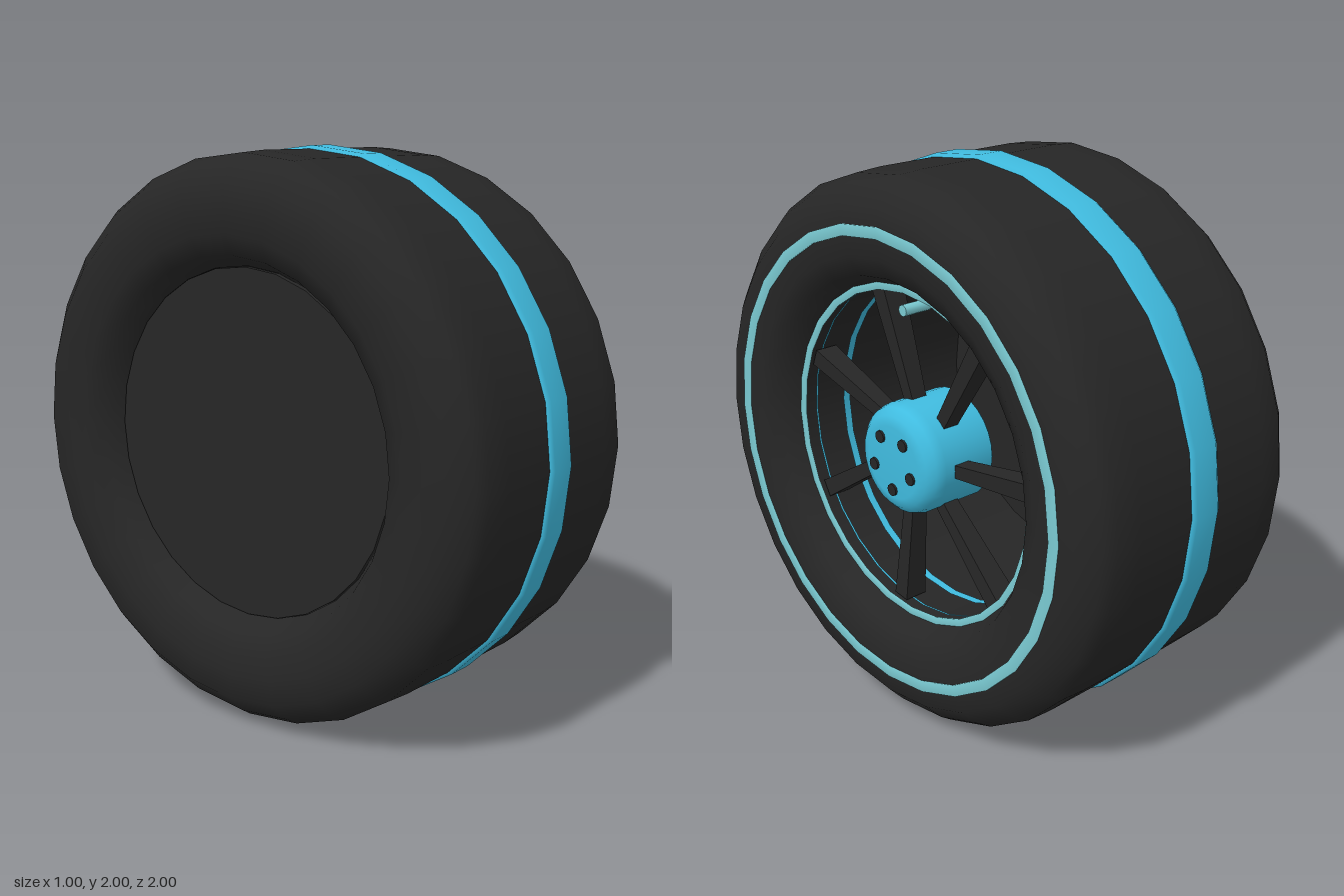
import * as THREE from 'three';

const SIDES = 28;
const rubber = new THREE.MeshStandardMaterial({ color: 0x262626 });
rubber.name = 'dark rubber';
const blue = new THREE.MeshStandardMaterial({ color: 0x40bce0 });
blue.name = 'bright blue';
const teal = new THREE.MeshStandardMaterial({ color: 0x7acad2 });
teal.name = 'pale teal';

// Turns a profile of [x, radius] points around the axle (x axis)
function turned(name, profile, material, sides = SIDES) {
  const points = profile.map(([x, r]) => new THREE.Vector2(r, x));
  const geometry = new THREE.LatheGeometry(points, sides);
  geometry.rotateZ(-Math.PI / 2);
  const mesh = new THREE.Mesh(geometry, material);
  mesh.name = name;
  return mesh;
}

// Short rod lying along the axle direction
function rod(name, radius, x0, x1, y, z, material) {
  const geometry = new THREE.CylinderGeometry(radius, radius, x1 - x0, 10);
  geometry.rotateZ(-Math.PI / 2);
  const mesh = new THREE.Mesh(geometry, material);
  mesh.name = name;
  mesh.position.set((x0 + x1) / 2, y, z);
  return mesh;
}

// Thin raised ring facing +x
function trimRing(name, inner, outer, x) {
  return turned(name, [[x - 0.004, outer], [x + 0.004, outer], [x + 0.004, inner], [x - 0.004, inner]], teal);
}

// Tapered spoke along y, leaning slightly at the hub
function spokeGeometry() {
  const geometry = new THREE.BoxGeometry(1, 1, 1);
  const p = geometry.attributes.position;
  for (let i = 0; i < p.count; i++) {
    const rim = p.getY(i) > 0;
    p.setXYZ(i,
      0.32 + p.getX(i) * (rim ? 0.09 : 0.06),
      rim ? 0.595 : 0.16,
      p.getZ(i) * (rim ? 0.065 : 0.045) - (rim ? 0 : 0.02));
  }
  geometry.computeVertexNormals();
  return geometry;
}

export function createModel() {
  const model = new THREE.Group();
  model.name = 'wheel';
  const wheel = new THREE.Group();
  wheel.name = 'wheelAssembly';
  wheel.position.y = 1;
  model.add(wheel);

  // Tyre: tread, shoulders and rounded sidewalls
  const half = [[0.3, 0.988], [0.4, 0.982], [0.44, 0.955], [0.5, 0.89], [0.5, 0.8], [0.495, 0.72], [0.46, 0.65], [0.385, 0.61]];
  const mirrored = half.map(([x, r]) => [-x, r]).reverse();
  wheel.add(turned('tyre', [...mirrored, ...half], rubber));

  // Tread band
  wheel.add(turned('treadBand', [[-0.065, 0.97], [-0.065, 0.99], [-0.05, 1], [0.05, 1], [0.065, 0.99], [0.065, 0.97]], blue));

  // Rim barrel with blue pinstripes, closed by a back plate
  wheel.add(turned('rimBarrel', [[0.385, 0.61], [-0.4, 0.61]], rubber));
  wheel.add(turned('barrelStripe', [[0.205, 0.603], [0.175, 0.603]], blue));
  wheel.add(turned('barrelPinstripe', [[0.335, 0.603], [0.327, 0.603]], blue));
  const plate = new THREE.Mesh(new THREE.CylinderGeometry(0.608, 0.608, 0.02, SIDES), rubber);
  plate.name = 'backPlate';
  plate.rotation.z = -Math.PI / 2;
  plate.position.x = -0.39;
  wheel.add(plate);

  // Trim rings on the outer face
  wheel.add(trimRing('sidewallRing', 0.79, 0.83, 0.501));
  wheel.add(trimRing('rimRing', 0.59, 0.622, 0.392));

  // Hub with rounded front edge
  wheel.add(turned('hub', [[0.17, 0], [0.17, 0.19], [0.18, 0.2], [0.39, 0.2], [0.425, 0.19], [0.45, 0.165], [0.46, 0.13], [0.46, 0]], blue));

  // Lug bolts, one pointing straight down
  for (let i = 0; i < 5; i++) {
    const a = (i / 5) * Math.PI * 2;
    wheel.add(rod('lugBolt', 0.022, 0.44, 0.468, -0.1 * Math.cos(a), 0.1 * Math.sin(a), rubber));
  }

  // Seven spokes
  const spoke = spokeGeometry();
  for (let i = 0; i < 7; i++) {
    const mesh = new THREE.Mesh(spoke, rubber);
    mesh.name = 'spoke';
    mesh.rotation.x = THREE.MathUtils.degToRad(17) + (i / 7) * Math.PI * 2;
    wheel.add(mesh);
  }

  // Valve stem
  wheel.add(rod('valveStem', 0.02, 0.29, 0.4, 0.53, 0, teal));

  return model;
}
